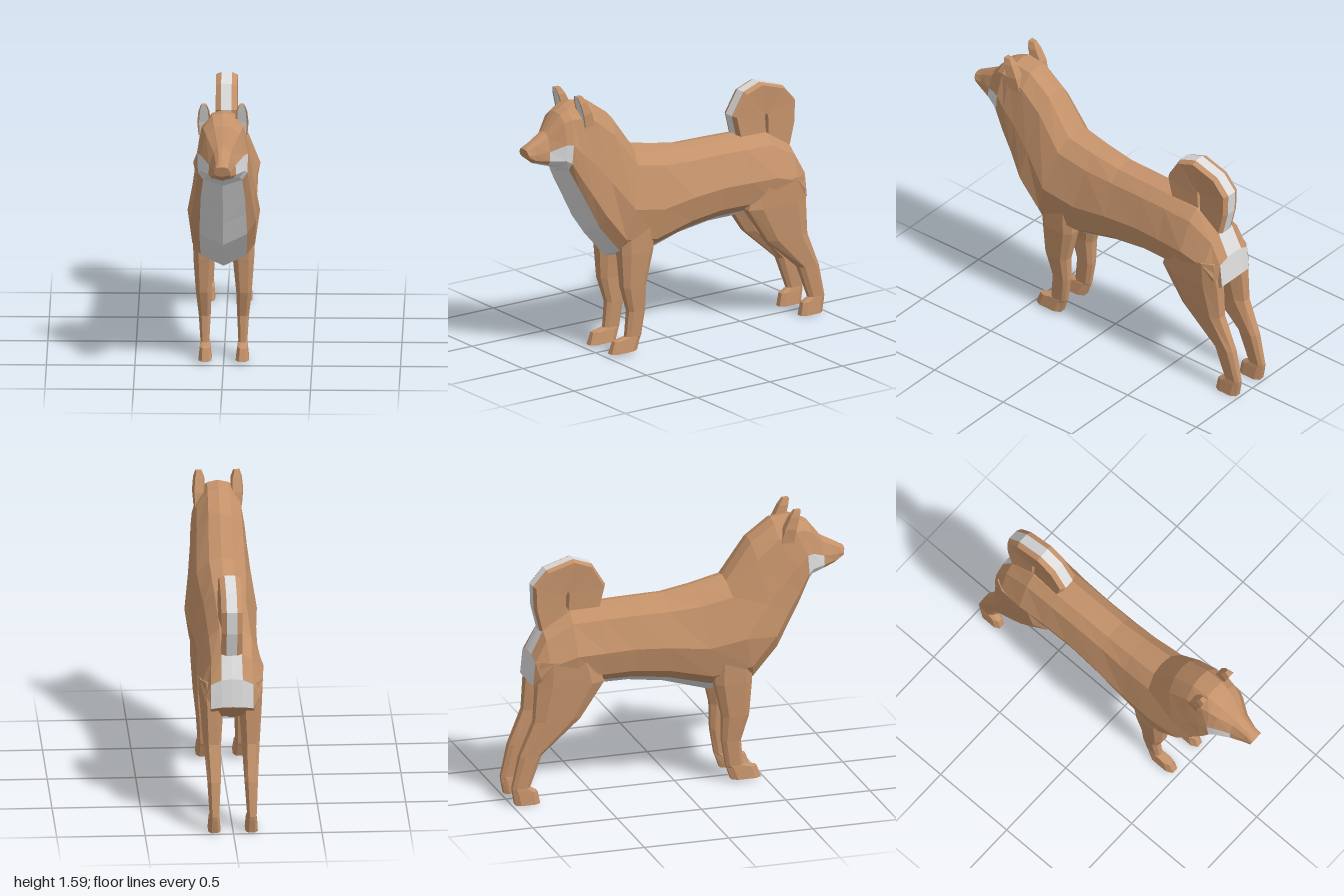
import * as THREE from 'three';

const tan = new THREE.MeshStandardMaterial({ color: 0xc4926a, flatShading: true });
tan.name = 'tanFur';
const white = new THREE.MeshStandardMaterial({ color: 0xdcdcdc, flatShading: true });
white.name = 'paleFur';

// Skins closed rings of [x, y, z] points; isWhite(segment, column) picks the fur colour.
function loft(name, rings, isWhite = () => false) {
  const lists = [[], []];
  const n = rings[0].length;
  let volume = 0;
  const tri = (list, a, b, c) => {
    volume += a[0] * (b[1] * c[2] - b[2] * c[1]) + a[1] * (b[2] * c[0] - b[0] * c[2]) + a[2] * (b[0] * c[1] - b[1] * c[0]);
    list.push([a, b, c]);
  };
  for (let s = 0; s < rings.length - 1; s++) {
    for (let i = 0; i < n; i++) {
      const j = (i + 1) % n, p = rings[s], q = rings[s + 1];
      const list = lists[isWhite(s, i) ? 1 : 0];
      tri(list, p[i], p[j], q[j]);
      tri(list, p[i], q[j], q[i]);
    }
  }
  // End caps
  for (const [ring, flip] of [[rings[0], true], [rings[rings.length - 1], false]]) {
    const mid = [0, 1, 2].map(k => ring.reduce((sum, p) => sum + p[k], 0) / n);
    for (let i = 0; i < n; i++) {
      const a = ring[i], b = ring[(i + 1) % n];
      if (flip) tri(lists[0], mid, b, a); else tri(lists[0], mid, a, b);
    }
  }
  // Keep faces outward for either ring direction
  const ordered = lists.map(l => l.map(([a, b, c]) => (volume < 0 ? [a, c, b] : [a, b, c])));
  const geometry = new THREE.BufferGeometry();
  geometry.setAttribute('position', new THREE.Float32BufferAttribute(ordered.flat(3), 3));
  geometry.addGroup(0, lists[0].length * 3, 0);
  geometry.addGroup(lists[0].length * 3, lists[1].length * 3, 1);
  geometry.computeVertexNormals();
  const mesh = new THREE.Mesh(geometry, [tan, white]);
  mesh.name = name;
  return mesh;
}

// Body ring along the line from spine to belly, mirrored about x = 0.
const levels = [0, 0.025, 0.15, 0.52, 0.8, 0.91, 1];
function bodyRing([tz, ty, bz, by, w1, w2, w3, w4]) {
  const widths = [0, w1 * 0.5, w1, w2, w3, w4, 0];
  const half = levels.map((t, i) => [widths[i], ty + (by - ty) * t, tz + (bz - tz) * t]);
  const other = half.slice(1, 6).reverse().map(([x, y, z]) => [-x, y, z]);
  return [...half, ...other];
}
// Column counted from the spine (0) to the belly (5) on either side
const column = i => Math.min(i, 11 - i);

// Chamfered leg ring: height, back z, front z, inner x, outer x
function legRing([y, zb, zf, xi, xo], side) {
  const cx = (xo - xi) * 0.25, cz = (zf - zb) * 0.2;
  return [
    [xi + cx, zf], [xo - cx, zf], [xo, zf - cz], [xo, zb + cz],
    [xo - cx, zb], [xi + cx, zb], [xi, zb + cz], [xi, zf - cz],
  ].map(([x, z]) => [x * side, y, z]);
}

// spine z, spine y, underside z, underside y, four half widths
const neck = [0.68, 1.535, 0.705, 1.0, 0.12, 0.153, 0.153, 0.125];
const headRings = [
  [1.0, 1.305, 0.985, 1.245, 0.035, 0.045, 0.042, 0.03],
  [0.95, 1.335, 0.94, 1.21, 0.036, 0.05, 0.05, 0.035],
  [0.86, 1.385, 0.87, 1.185, 0.05, 0.075, 0.078, 0.06],
  [0.78, 1.487, 0.79, 1.16, 0.095, 0.125, 0.125, 0.095],
  [0.73, 1.515, 0.765, 1.13, 0.11, 0.143, 0.14, 0.11],
  neck,
];
const torsoRings = [
  neck,
  [0.57, 1.52, 0.645, 0.87, 0.125, 0.16, 0.165, 0.13],
  [0.43, 1.42, 0.58, 0.73, 0.13, 0.175, 0.185, 0.135],
  [0.28, 1.21, 0.44, 0.57, 0.14, 0.205, 0.178, 0.13],
  [0.1, 1.17, 0.2, 0.53, 0.13, 0.19, 0.155, 0.07],
  [-0.07, 1.14, -0.07, 0.61, 0.12, 0.18, 0.145, 0.08],
  [-0.28, 1.135, -0.28, 0.64, 0.12, 0.173, 0.14, 0.08],
  [-0.45, 1.13, -0.47, 0.64, 0.12, 0.178, 0.145, 0.075],
  [-0.64, 1.12, -0.62, 0.65, 0.12, 0.19, 0.165, 0.07],
  [-0.8, 1.02, -0.77, 0.65, 0.115, 0.175, 0.155, 0.07],
  [-0.87, 0.88, -0.82, 0.65, 0.12, 0.155, 0.14, 0.06],
  [-0.89, 0.72, -0.8, 0.63, 0.12, 0.125, 0.1, 0.05],
];
const frontLegRings = [
  [0.8, 0.2, 0.42, 0.05, 0.175], [0.6, 0.2, 0.415, 0.05, 0.172],
  [0.4, 0.245, 0.4, 0.07, 0.158], [0.25, 0.245, 0.355, 0.075, 0.142],
  [0.1, 0.268, 0.37, 0.082, 0.132], [0.085, 0.275, 0.45, 0.078, 0.134],
  [0.015, 0.3, 0.475, 0.068, 0.142],
];
const hindLegRings = [
  [0.85, -0.835, -0.52, 0.05, 0.178], [0.7, -0.855, -0.46, 0.045, 0.172],
  [0.49, -0.87, -0.6, 0.06, 0.158], [0.29, -0.955, -0.825, 0.068, 0.142],
  [0.1, -0.998, -0.895, 0.08, 0.132], [0.075, -0.995, -0.85, 0.076, 0.135],
  [0, -0.98, -0.835, 0.07, 0.14],
];
// height, inner x, outer x, front z, back z
const earRings = [
  [1.4, 0.085, 0.138, 0.665, 0.595], [1.48, 0.07, 0.145, 0.68, 0.615],
  [1.55, 0.075, 0.138, 0.7, 0.65], [1.588, 0.09, 0.125, 0.71, 0.675],
];
// outer z, outer y, inner z, inner y around the curl
const tailRings = [
  [-0.81, 1.0, -0.66, 1.06], [-0.845, 1.14, -0.66, 1.14], [-0.85, 1.27, -0.66, 1.19],
  [-0.77, 1.36, -0.652, 1.215], [-0.61, 1.41, -0.642, 1.22], [-0.5, 1.37, -0.638, 1.21],
  [-0.42, 1.24, -0.638, 1.18], [-0.455, 1.1, -0.645, 1.09],
];

export function createModel() {
  const dog = new THREE.Group();
  dog.name = 'dog';

  // Head with pale cheeks and jaw
  dog.add(loft('head', headRings.map(bodyRing), (s, i) => {
    const c = column(i);
    return (c === 5 && s > 0) || (c >= 3 && (s === 2 || s === 3));
  }));

  // Torso with pale chest, belly and rump stripe
  dog.add(loft('torso', torsoRings.map(bodyRing), (s, i) =>
    column(i) === 5 || (s >= 9 && column(i) <= (s === 9 ? 0 : 1))));

  // Curled tail with a pale stripe on the outer rim
  const tail = tailRings.map(([oz, oy, iz, iy]) => {
    const at = (x, t) => [x, iy + (oy - iy) * t, iz + (oz - iz) * t];
    return [at(-0.03, 1), at(0.03, 1), at(0.06, 0.93), at(0.05, 0), at(-0.05, 0), at(-0.06, 0.93)];
  });
  dog.add(loft('tail', tail, (s, i) => i === 0));

  // Mirrored legs and ears
  for (const [side, label] of [[1, 'left'], [-1, 'right']]) {
    dog.add(loft(label + 'FrontLeg', frontLegRings.map(r => legRing(r, side))));
    dog.add(loft(label + 'HindLeg', hindLegRings.map(r => legRing(r, side))));
    const ear = earRings.map(([y, xi, xo, zf, zb]) => {
      const rim = (xo - xi) * 0.14;
      return [[xi, zf], [xi + rim, zf], [xo - rim, zf], [xo, zf], [xo - rim, zb], [xi + rim, zb]]
        .map(([x, z]) => [x * side, y, z]);
    });
    dog.add(loft(label + 'Ear', ear, (s, i) => i === 1));
  }
  return dog;
}
